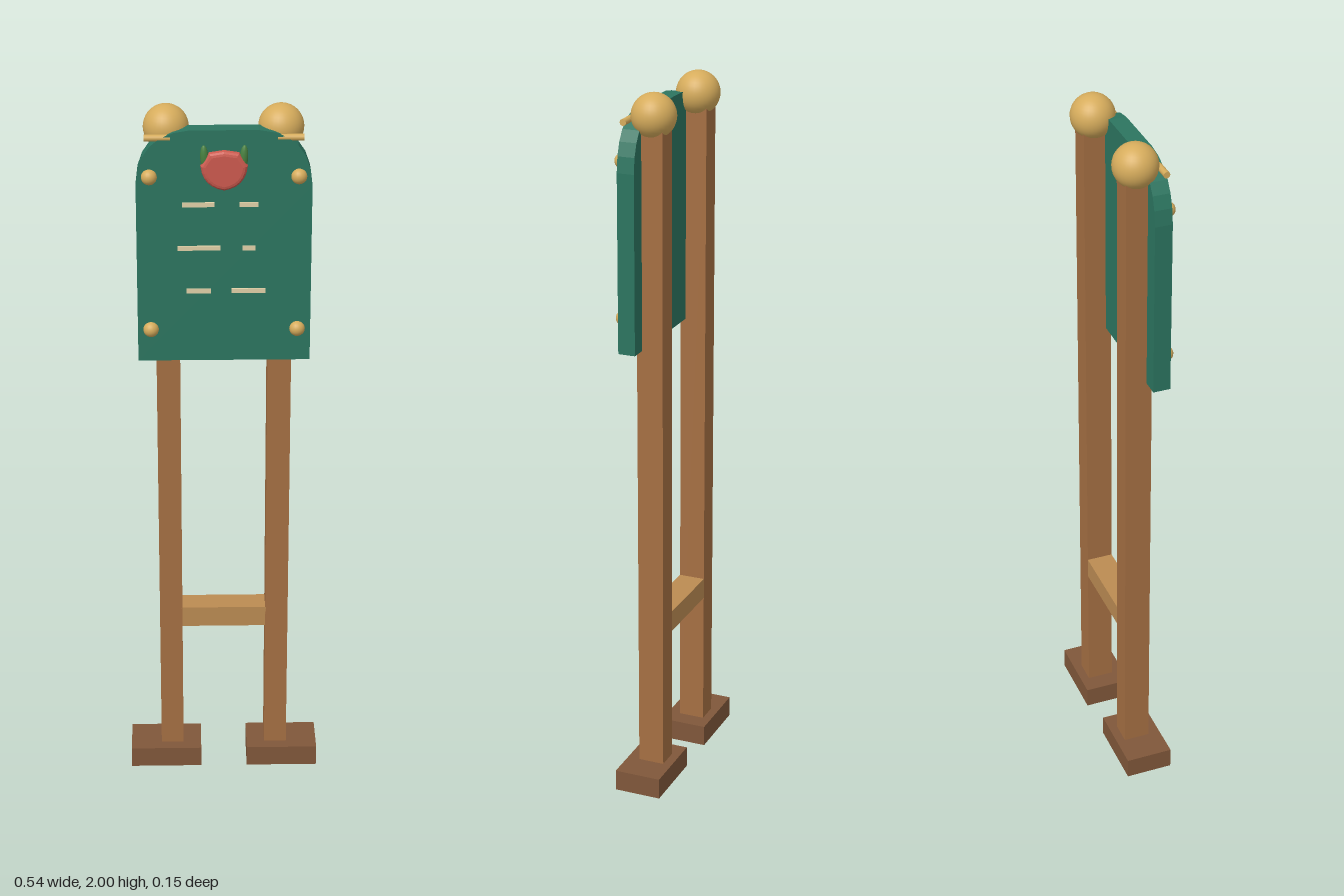
import * as THREE from 'three';

const mat = (color) => new THREE.MeshStandardMaterial({ color });
const wood = mat(0xa56f43), lightWood = mat(0xbb8b52), darkWood = mat(0x80573a);
const brass = mat(0xd6ac5c), green = mat(0x2c7560), red = mat(0xcc5a4e);
const leafGreen = mat(0x47803f), cream = mat(0xe2d2a8);

export function createModel() {
  const model = new THREE.Group();

  const add = (name, geometry, material, x, y, z) => {
    const mesh = new THREE.Mesh(geometry, material);
    mesh.name = name;
    mesh.position.set(x, y, z);
    model.add(mesh);
    return mesh;
  };
  const box = (w, h, d) => new THREE.BoxGeometry(w, h, d);

  // Two posts with feet, ball finials, small pegs and board bolts
  for (const [side, s] of [['left', 1], ['right', -1]]) {
    add(side + 'Post', box(0.064, 1.93, 0.074), wood, s * 0.15, 0.965, -0.016);
    add(side + 'Foot', box(0.203, 0.06, 0.133), darkWood, s * 0.168, 0.05, -0.011);
    add(side + 'Finial', new THREE.SphereGeometry(0.06, 32, 20), brass, s * 0.15, 1.94, -0.016);
    add(side + 'Peg', new THREE.CylinderGeometry(0.009, 0.009, 0.068, 12), brass, s * 0.173, 1.928, 0.046)
      .rotation.z = Math.PI / 2;
    for (const [level, y] of [['Upper', 1.825], ['Lower', 1.4]]) {
      add(side + level + 'Bolt', new THREE.SphereGeometry(0.021, 20, 14), brass, s * 0.195, y, 0.053);
    }
    // Leaf beside the flower
    const leaf = add(side + 'Leaf', new THREE.SphereGeometry(1, 14, 10), leafGreen, s * 0.051, 1.878, 0.059);
    leaf.scale.set(0.011, 0.034, 0.009);
    leaf.rotation.z = s * -0.06;
  }

  // Rail between the posts
  add('rail', box(0.24, 0.06, 0.074), lightWood, 0, 0.5, -0.016);

  // Board with rounded shoulders
  const outline = new THREE.Shape();
  outline.moveTo(-0.23, 1.31);
  outline.lineTo(0.23, 1.31);
  outline.lineTo(0.23, 1.8);
  outline.quadraticCurveTo(0.225, 1.94, 0.09, 1.95);
  outline.lineTo(-0.09, 1.95);
  outline.quadraticCurveTo(-0.225, 1.94, -0.23, 1.8);
  outline.closePath();
  add('board', new THREE.ExtrudeGeometry(outline, { depth: 0.048, bevelEnabled: false, curveSegments: 6 }),
    green, 0, 0, 0.006);

  // Red flower emblem: a bevelled bud shape
  const bud = new THREE.Shape();
  bud.moveTo(0, -0.042);
  bud.quadraticCurveTo(0.044, -0.035, 0.049, 0.01);
  bud.lineTo(0.032, 0.036);
  bud.lineTo(0, 0.041);
  bud.lineTo(-0.032, 0.036);
  bud.lineTo(-0.049, 0.01);
  bud.quadraticCurveTo(-0.044, -0.035, 0, -0.042);
  add('flower', new THREE.ExtrudeGeometry(bud, {
    depth: 0.006, bevelThickness: 0.011, bevelSize: 0.012, bevelSegments: 3, curveSegments: 6,
  }), red, 0, 1.845, 0.056);

  // Raised strips on the board: start x, end x, height
  const strips = [
    [-0.11, -0.025, 1.75], [0.04, 0.09, 1.75],
    [-0.122, -0.01, 1.63], [0.048, 0.083, 1.63],
    [-0.1, -0.035, 1.51], [0.02, 0.11, 1.51],
  ];
  strips.forEach(([x0, x1, y], i) => {
    add('strip' + (i + 1), box(x1 - x0, 0.012, 0.008), cream, (x0 + x1) / 2, y, 0.055);
  });

  return model;
}
